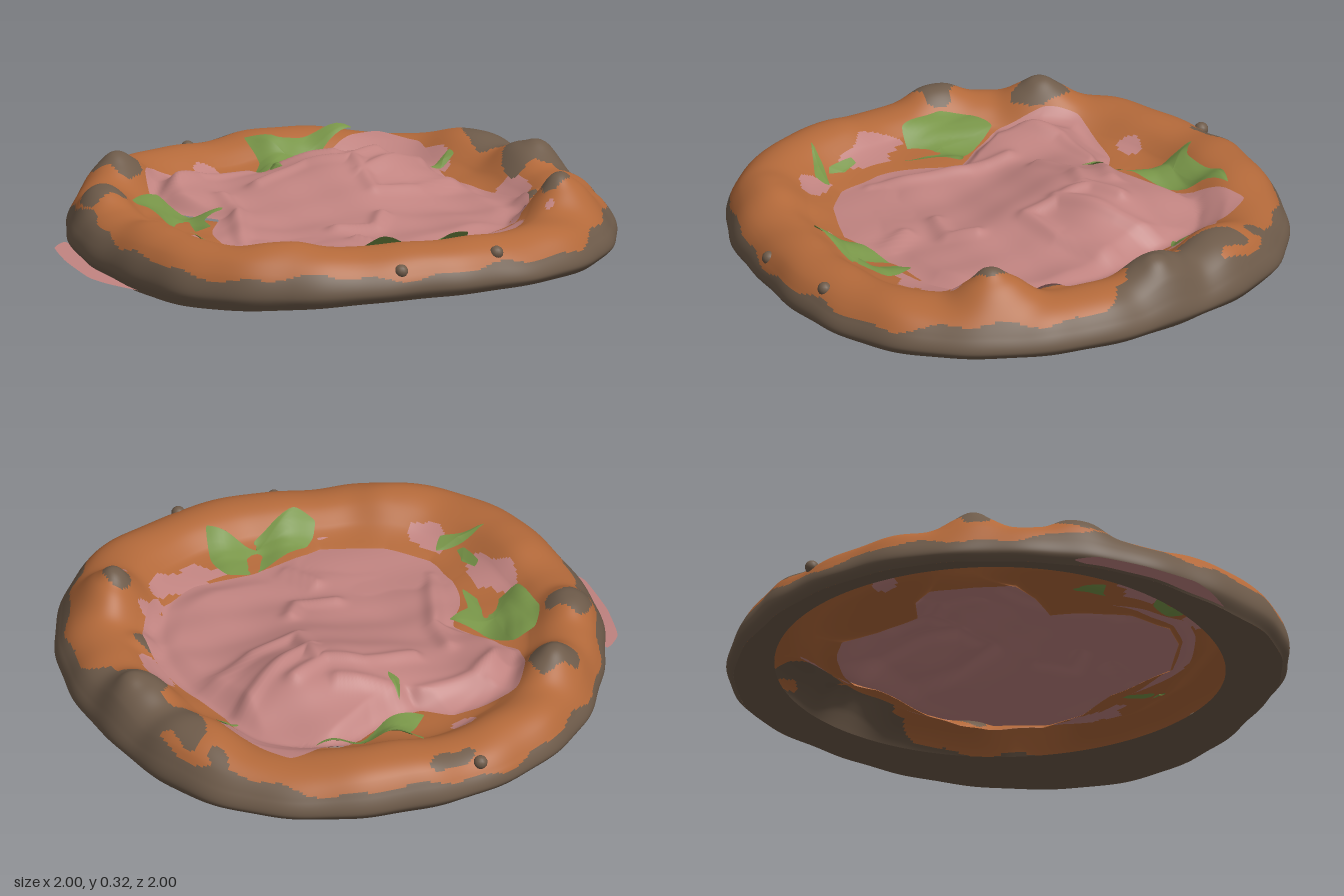
import * as THREE from 'three';

const paint = (name, color) => {
  const m = new THREE.MeshStandardMaterial({ color, side: THREE.DoubleSide });
  m.name = name;
  return m;
};
const TAU = Math.PI * 2;
const gauss = (x, z, cx, cz, s) => Math.exp(-((x - cx) ** 2 + (z - cz) ** 2) / (s * s));
const dome = (x, z, cx, cz, s) => Math.exp(-((Math.hypot(x - cx, z - cz) / s) ** 3));
const wave = (x, z) => Math.sin(11 * x + 4 * z) * Math.sin(9 * z - 3 * x + 1) + 0.6 * Math.sin(19 * x - 13 * z) * Math.sin(17 * z + 8 * x);

// Outer radius of the uneven crust, at 16 even steps around
const RADII = [0.99, 1.0, 1.03, 1.045, 0.985, 0.935, 0.965, 0.995, 0.952, 0.945, 0.94, 0.975, 0.99, 1.0, 1.03, 1.035];
function radius(t) {
  const u = (((t / TAU) % 1) + 1) % 1 * 16, i = Math.floor(u) % 16, f = u - Math.floor(u);
  const [a, b, c, d] = [15, 0, 1, 2].map(k => RADII[(i + k) % 16]);
  return b + 0.5 * f * (c - a + f * (2 * a - 5 * b + 4 * c - d + f * (3 * (b - c) + d - a))) + 0.003 * Math.sin(23 * t);
}

// Outline of the ham, and its radius along an angle
const HAM = [[-0.45, -0.45], [-0.37, -0.6], [-0.27, -0.68], [-0.05, -0.61], [0.04, -0.52], [0.25, -0.53], [0.5, -0.59], [0.65, -0.58],
  [0.7, -0.4], [0.63, -0.15], [0.64, 0.15], [0.6, 0.38], [0.42, 0.56], [0.22, 0.58], [0, 0.53], [-0.3, 0.55], [-0.5, 0.4], [-0.6, 0.25],
  [-0.57, 0.08], [-0.47, -0.07], [-0.37, -0.17], [-0.43, -0.32]];
function hamRadius(t) {
  const c = Math.cos(t), s = Math.sin(t);
  let r = 1;
  HAM.forEach(([ax, az], i) => {
    const [bx, bz] = HAM[(i + 1) % HAM.length];
    const sideA = c * az - s * ax, sideB = c * bz - s * bx;
    if (sideA * sideB > 0 || sideA === sideB) return;
    const k = sideA / (sideA - sideB), hit = c * (ax + (bx - ax) * k) + s * (az + (bz - az) * k);
    if (hit > 0) r = Math.min(r, hit);
  });
  return r;
}

// Crust section from the outer bottom edge, over the rim, to the inner edge: [radius fraction, height]
const SECTION = [[0.975, 0.02], [1, 0.06], [0.988, 0.115], [0.95, 0.17], [0.9, 0.2], [0.84, 0.208], [0.78, 0.195], [0.72, 0.16], [0.67, 0.125], [0.62, 0.105]];
const sectionCurve = new THREE.SplineCurve(SECTION.map(p => new THREE.Vector2(...p)));

// Bubbles on the rim: x, z, size, extra height
const BUBBLES = [
  [0.56, 0.6, 0.13, 0.095], [0.55, 0.61, 0.05, 0.03], [0.85, 0.06, 0.13, 0.07], [0.87, 0.09, 0.05, 0.015], [0.85, -0.26, 0.17, 0.045],
  [-0.44, -0.65, 0.12, 0.065], [-0.45, -0.66, 0.05, 0.018], [-0.72, -0.4, 0.1, 0.05], [-0.6, 0.5, 0.12, 0.02], [0.35, -0.8, 0.2, 0.02],
  [0.6, 0.36, 0.06, 0.03], [-0.8, 0.05, 0.12, 0.015],
];
const bubble = (x, z) => BUBBLES.reduce((h, [cx, cz, s, a]) => h + a * dome(x, z, cx, cz, s), 0.008 * wave(x * 0.8, z * 0.8));
const sag = (x, z) => 0.025 - 0.045 * gauss(x, z, -0.82, 0.35, 0.6);

// Height of the crust's upper surface at x, z
function crustTop(x, z) {
  const f = Math.hypot(x, z) / radius(Math.atan2(z, x));
  let y = 0.105;
  for (let i = 3; i < SECTION.length - 1; i++) {
    const [f0, y0] = SECTION[i], [f1, y1] = SECTION[i + 1];
    if (f <= f0 && f >= f1) y = y0 + (y1 - y0) * (f0 - f) / (f0 - f1);
  }
  return y + bubble(x, z);
}

// Surface closed around u, open along v; pick(x, y, z, v) gives the material index of each quad
function grid(nu, nv, point, pick) {
  const pos = [], lists = [[], [], []];
  for (let j = 0; j <= nv; j++) for (let i = 0; i < nu; i++) pos.push(...point(i / nu, j / nv));
  for (let j = 0; j < nv; j++) for (let i = 0; i < nu; i++) {
    const a = j * nu + i, b = j * nu + (i + 1) % nu, c = a + nu, d = b + nu;
    const mid = k => (pos[a * 3 + k] + pos[d * 3 + k]) / 2;
    lists[pick ? pick(mid(0), mid(1), mid(2), j / nv) : 0].push(a, c, b, b, c, d);
  }
  const g = new THREE.BufferGeometry();
  g.setAttribute('position', new THREE.Float32BufferAttribute(pos, 3));
  g.setIndex(lists.flat());
  if (pick) {
    let start = 0;
    lists.forEach((l, k) => { g.addGroup(start, l.length, k); start += l.length; });
  }
  g.computeVertexNormals();
  return g;
}

// Draped sheet filling an outline of [x, z] points around a centre
function sheet(outline, [cx, cz], height, nu, nv) {
  let pts = outline.map(([x, z]) => new THREE.Vector3(x, 0, z));
  const area = pts.reduce((s, p, i) => { const q = pts[(i + 1) % pts.length]; return s + p.x * q.z - q.x * p.z; }, 0);
  if (area < 0) pts = pts.reverse();
  const curve = new THREE.CatmullRomCurve3(pts, true, 'catmullrom', 0.25);
  const edge = Array.from({ length: nu }, (_, i) => curve.getPoint(i / nu));
  return grid(nu, nv, (u, v) => {
    const e = edge[Math.round(u * nu) % nu], k = 1 - v * 0.999;
    const x = cx + (e.x - cx) * k, z = cz + (e.z - cz) * k;
    return [x, height(x, z, k), z];
  });
}

// Folds of the ham: chains of x, z points
const FOLDS = [
  [[-0.1, -0.3], [0.1, -0.28], [0.22, -0.2], [0.38, -0.23]], [[0.25, -0.2], [0.17, 0.04], [0.35, 0.06], [0.6, 0]],
  [[0.2, -0.08], [0.45, -0.14], [0.6, -0.2]], [[-0.12, 0.2], [0, 0.27], [0.08, 0.2]], [[-0.13, 0.34], [-0.1, 0.47]],
  [[-0.42, -0.45], [-0.2, -0.52], [0, -0.48]], [[-0.5, 0.15], [-0.3, -0.15], [-0.25, -0.3]], [[0.05, -0.6], [0.1, -0.42], [0.25, -0.32]],
];
function fold(x, z) {
  let h = 0;
  for (const chain of FOLDS) {
    let best = 9;
    for (let i = 0; i < chain.length - 1; i++) {
      const [ax, az] = chain[i], dx = chain[i + 1][0] - ax, dz = chain[i + 1][1] - az;
      const t = Math.min(1, Math.max(0, ((x - ax) * dx + (z - az) * dz) / (dx * dx + dz * dz)));
      best = Math.min(best, Math.hypot(x - ax - dx * t, z - az - dz * t));
    }
    h = Math.max(h, 0.02 * Math.exp(-((best / 0.03) ** 2)));
  }
  return h;
}
// Ham height: mounded towards the back, settling onto the crust at its edge
function hamTop(x, z) {
  const y = 0.135 + 0.12 * gauss(x, z, 0.2, -0.22, 0.28) + 0.08 * gauss(x, z, -0.36, -0.5, 0.22)
    + 0.04 * gauss(x, z, 0.42, -0.2, 0.2) - 0.03 * gauss(x, z, -0.4, 0.35, 0.35) + 0.01 * wave(x, z) + fold(x, z);
  const rest = crustTop(x, z) + 0.01;
  const settle = THREE.MathUtils.smoothstep(Math.hypot(x, z) / hamRadius(Math.atan2(z, x)), 0.82, 1) * 0.75;
  return Math.max(y + (rest - y) * settle, rest);
}

const SCRAP = [[-0.8, -0.5], [-0.88, -0.46], [-0.95, -0.3], [-1, -0.1], [-0.985, 0], [-0.93, 0.13], [-0.9, 0.1], [-0.89, -0.1], [-0.85, -0.3]];
const LEAVES = [
  [[-0.55, -0.41], [-0.45, -0.42], [-0.42, -0.25], [-0.35, -0.17], [-0.46, -0.13], [-0.51, -0.03], [-0.56, -0.12], [-0.65, -0.17], [-0.63, -0.33]],
  [[0.2, -0.77], [0.28, -0.67], [0.42, -0.66], [0.55, -0.6], [0.4, -0.58], [0.2, -0.53], [0.1, -0.53], [0.04, -0.55], [0.17, -0.64]],
  [[-0.32, 0.6], [-0.25, 0.54], [-0.05, 0.53], [0.1, 0.55], [0.1, 0.65], [0.04, 0.76], [0, 0.65], [-0.08, 0.63], [-0.1, 0.66], [-0.27, 0.66]],
  [[-0.66, 0.08], [-0.61, 0.08], [-0.6, 0.16], [-0.63, 0.21], [-0.67, 0.18]],
  [[-0.76, 0.18], [-0.68, 0.2], [-0.6, 0.25], [-0.64, 0.28], [-0.7, 0.23]],
  [[0.63, -0.24], [0.71, -0.24], [0.71, -0.21], [0.65, -0.21]],
  [[0.04, -0.4], [0.09, -0.47], [0.08, -0.4], [0.06, -0.36]],
];

// Ellipses on the crust: x, z, half width, half depth
const SCORCHED = [[0.85, -0.19, 0.075, 0.17], [0.82, 0.08, 0.11, 0.1], [0.55, 0.61, 0.06, 0.055], [-0.44, -0.65, 0.09, 0.09], [-0.72, -0.4, 0.08, 0.075],
  [0.17, -0.9, 0.08, 0.03], [0.6, 0.36, 0.05, 0.05], [0.86, -0.42, 0.03, 0.05]];
const HAM_PATCHES = [[-0.65, -0.01, 0.06, 0.12], [-0.61, 0.32, 0.05, 0.07], [0.67, 0.2, 0.045, 0.12], [0.24, 0.61, 0.15, 0.06], [0.49, 0.5, 0.04, 0.04],
  [-0.02, -0.69, 0.05, 0.035], [0.58, -0.65, 0.03, 0.03], [0.67, -0.3, 0.04, 0.1], [0.46, 0.69, 0.015, 0.015], [0.1, 0.84, 0.015, 0.015]];
const inside = (list, x, z) => list.some(([cx, cz, a, b]) => Math.hypot((x - cx) / a, (z - cz) / b) < 1 + 0.2 * Math.sin(40 * x + 30 * z));

export function createModel() {
  const root = new THREE.Group();
  root.name = 'flatbreadPie';
  const orange = paint('baked crust orange', 0xb3693a), brown = paint('scorched brown', 0x6e5b4a);
  const pink = paint('ham pink', 0xc08380), green = paint('leaf green', 0x789548);
  const add = (name, geometry, material) => {
    const m = new THREE.Mesh(geometry, material);
    m.name = name;
    root.add(m);
    return m;
  };

  // Raised crust, scorched low on the outside and on its bubbles
  const crustColour = (x, y, z, v) => {
    const t = Math.atan2(z, x);
    let limit = 0.125 + 0.012 * Math.sin(9 * t) + 0.008 * Math.sin(25 * t + 1);
    limit += 0.05 * Math.max(0, Math.cos(t)) + 0.08 * Math.exp(-((t - 0.02) ** 2) / 0.07) + 0.065 * gauss(x, z, -0.88, -0.3, 0.3);
    if (v < 0.5 && y < limit) return 1;
    if (inside(SCORCHED, x, z)) return 1;
    return v > 0.6 && inside(HAM_PATCHES, x, z) ? 2 : 0;
  };
  add('crust', grid(480, 72, (u, v) => {
    const t = u * TAU, p = sectionCurve.getPoint(v), rim = p.x * radius(t);
    const tuck = THREE.MathUtils.smoothstep(v, 0.8, 1);
    const r = rim + (Math.min(rim, hamRadius(t) - 0.06) - rim) * tuck;
    const x = r * Math.cos(t), z = r * Math.sin(t);
    return [x, p.y + bubble(x, z) * Math.min(1, v * 3) + sag(x, z) * Math.max(0, 1 - v * 4), z];
  }, crustColour), [orange, brown, pink]);

  // Flat underside with an off-centre opening
  add('underside', grid(160, 3, (u, v) => {
    const t = u * TAU, outer = 0.975 * radius(t), turn = t - Math.PI / 4;
    const hole = Math.min(outer - 0.03, 0.8 - 0.07 * Math.cos(turn) - 0.06 * Math.sin(turn));
    const r = hole + (outer - hole) * v, x = r * Math.cos(t), z = r * Math.sin(t);
    return [x, 0.02 + sag(x, z), z];
  }), brown);

  // Small baked knobs sunk into the rim
  [[0.04, 0.17, 0.93], [-0.32, 0.14, 0.845], [0.08, 0.165, -0.945]].forEach(p => {
    add('knob', new THREE.SphereGeometry(0.025, 14, 10), brown).position.set(...p);
  });

  // Crumpled ham, and the scrap that slipped out beneath the crust
  add('ham', sheet(HAM, [0.05, 0], hamTop, 220, 64), pink);
  add('hamScrap', sheet(SCRAP, [-0.92, -0.15], (x, z) => 0.027 + sag(x, z), 48, 8), pink);

  // Curled leaves tucked around the ham
  LEAVES.forEach((outline, i) => {
    const c = [0, 1].map(k => outline.reduce((s, p) => s + p[k], 0) / outline.length);
    const lift = [0.04, 0.04, 0.03][i] ?? 0.014;
    add('leaf', sheet(outline, c, (x, z, k) =>
      Math.max(hamTop(x, z) - 0.008 * k, crustTop(x, z)) + lift * (0.65 + 0.45 * Math.sin(22 * x + 17 * z + i)), 60, 12), green);
  });
  return root;
}
